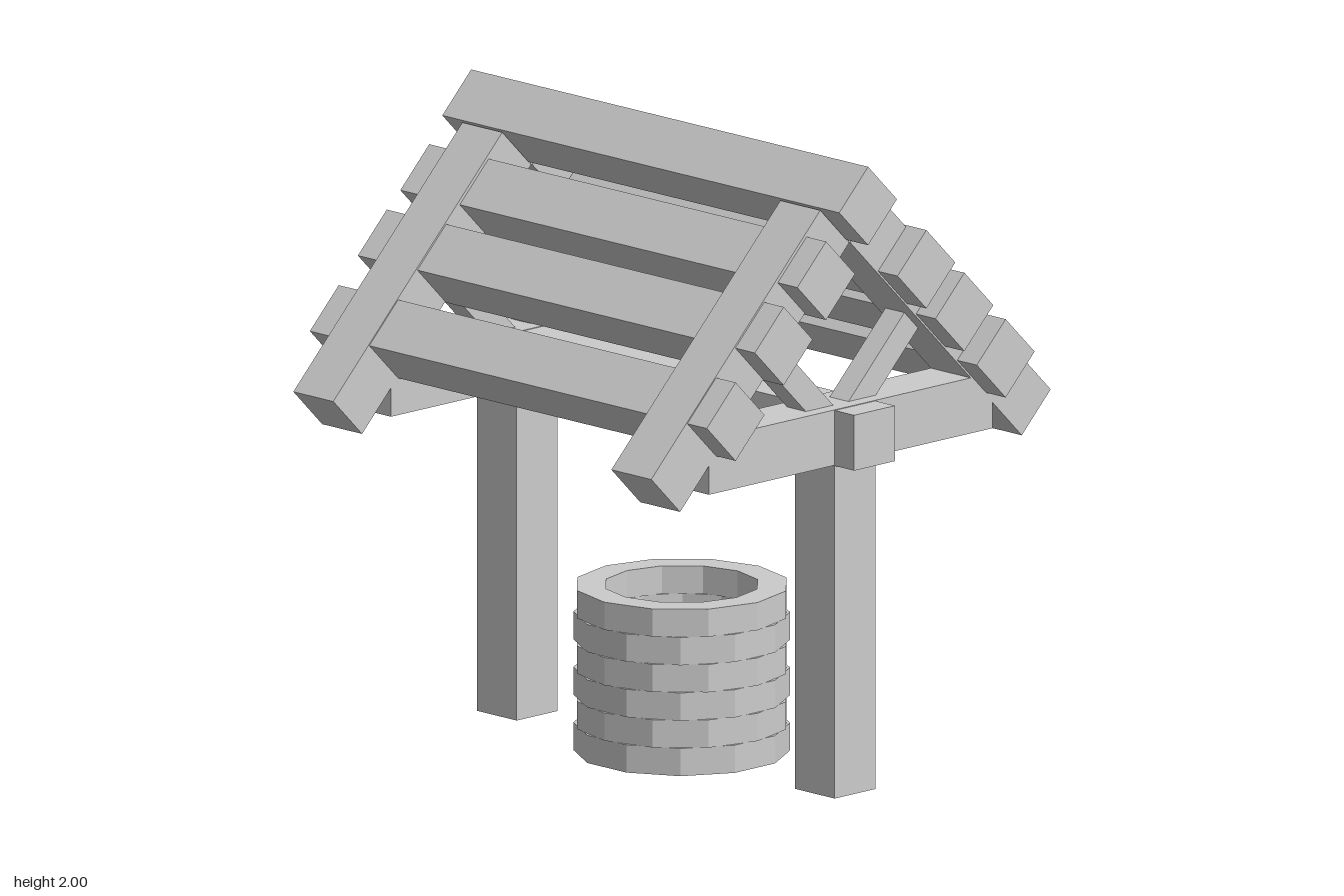
import * as THREE from 'three';

const T = 0.175;        // timber thickness
const POST_X = 0.697;   // side frames
const MID_Z = -0.018;   // post line
const material = new THREE.MeshStandardMaterial({ color: 0xcccccc, flatShading: true });

export function createModel() {
  const model = new THREE.Group();

  const add = (name, geometry, x, y, z, tilt = 0) => {
    const mesh = new THREE.Mesh(geometry, material);
    mesh.name = name;
    mesh.position.set(x, y, z);
    mesh.rotation.x = tilt;
    model.add(mesh);
    return mesh;
  };
  const box = (name, w, h, d, x, y, z, tilt) =>
    add(name, new THREE.BoxGeometry(w, h, d), x, y, z, tilt);

  // Side frames: post, cross beam, rafters and diagonal braces
  for (const [side, s] of [['left', 1], ['right', -1]]) {
    const x = s * POST_X;
    box(side + 'Post', T, 1.06, T, x, 0.53, MID_Z);
    box(side + 'CrossBeam', T, T, 1.216, x, 1.14, 0);
    box(side + 'FrontRafter', T, T, 1.025, x, 1.444, 0.432, Math.PI / 4);
    box(side + 'BackRafter', T, T, 1.04, x, 1.438, -0.427, -Math.PI / 4);
    box(side + 'FrontBrace', 0.083, 0.083, 0.37, x, 1.31, 0.172, -Math.PI / 4);
    box(side + 'BackBrace', 0.083, 0.083, 0.37, x, 1.31, -0.176, Math.PI / 4);
  }

  // Long beam joining the posts
  box('tieBeam', 1.74, T, T, 0, 1.138, MID_Z);

  // Ridge and roof slats, square bars turned on edge: [z, y]
  const bar = (name, z, y) => box(name, 1.74, T, T, 0, y, z, Math.PI / 4);
  bar('ridgeBeam', 0.01, 1.876);
  [[0.19, 1.671], [0.372, 1.496], [0.578, 1.293]].forEach(([z, y], i) => bar('frontSlat' + (i + 1), z, y));
  [[-0.24, 1.633], [-0.403, 1.47], [-0.58, 1.293]].forEach(([z, y], i) => bar('backSlat' + (i + 1), z, y));

  // Stone well: six twelve-sided courses, every other one turned half a block
  const H = 0.525 / 6, OUTER = 0.332, INNER = 0.24;
  const profile = [[INNER, 0], [OUTER, 0], [OUTER, H], [INNER, H], [INNER, 0]]
    .map(([r, y]) => new THREE.Vector2(r, y));
  for (let i = 0; i < 6; i++) {
    const course = add('wellCourse' + (i + 1), new THREE.LatheGeometry(profile, 12), 0.015, i * H, -0.027);
    course.rotation.y = i % 2 ? 0 : Math.PI / 12;
  }

  return model;
}
